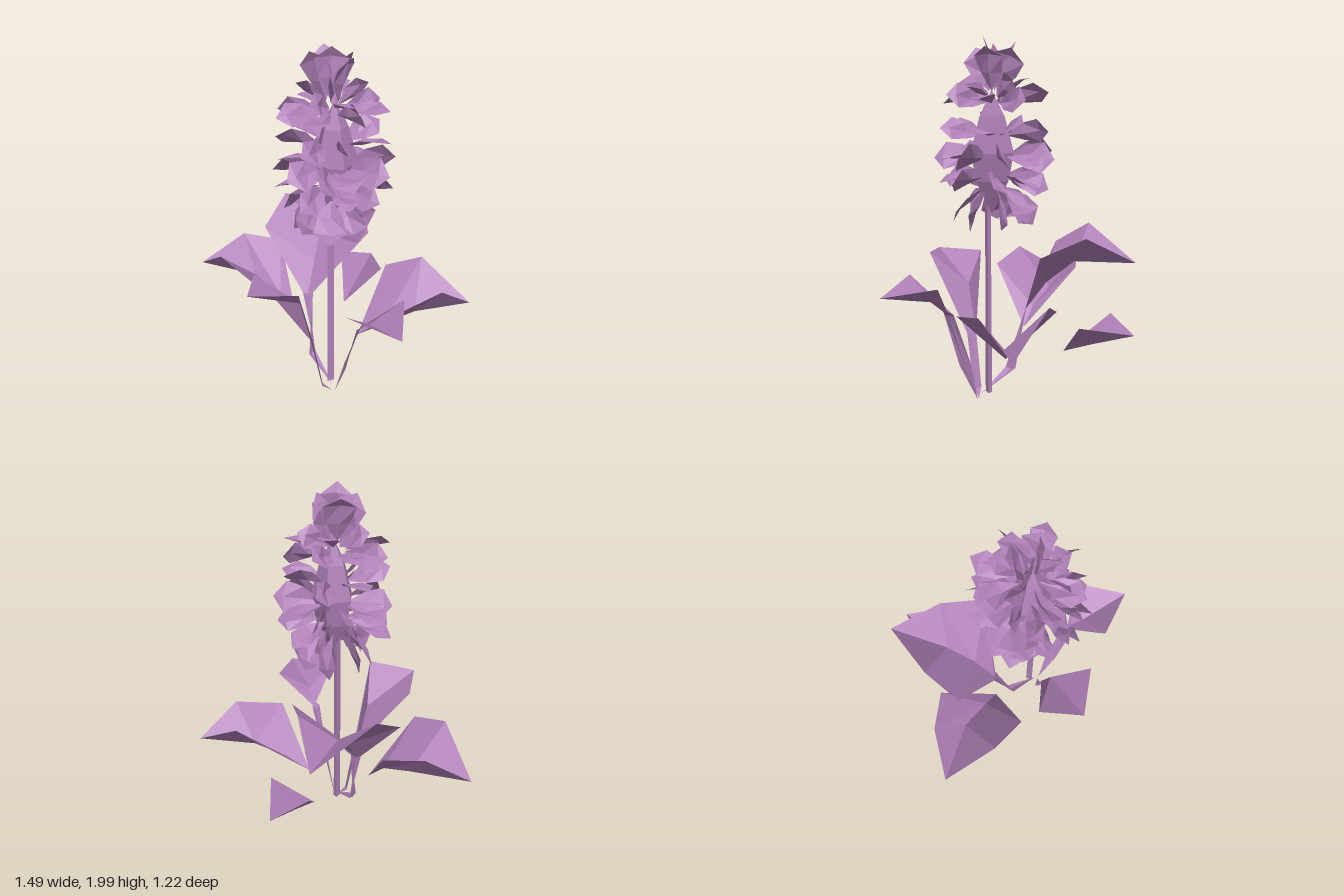
import * as THREE from 'three';

const material = new THREE.MeshStandardMaterial({ color: 0xb080b8, flatShading: true, side: THREE.DoubleSide });

// Folded sheet: each row is [left edge, midrib, right edge]; a row with one point is a tip
function sheet(name, rows) {
  const full = rows.map(r => (r.length === 1 ? [r[0], r[0], r[0]] : r));
  const pos = [];
  const tri = (a, b, c) => {
    if (a !== b && b !== c && a !== c) pos.push(...a, ...b, ...c);
  };
  for (let i = 0; i + 1 < full.length; i++) {
    for (let j = 0; j < 2; j++) {
      const a = full[i][j], b = full[i][j + 1], c = full[i + 1][j + 1], d = full[i + 1][j];
      tri(a, b, c);
      tri(a, c, d);
    }
  }
  const geometry = new THREE.BufferGeometry();
  geometry.setAttribute('position', new THREE.Float32BufferAttribute(pos, 3));
  geometry.computeVertexNormals();
  const mesh = new THREE.Mesh(geometry, material);
  mesh.name = name;
  return mesh;
}

// Narrow stalk row around a point, widened along direction (dx, dz)
const stalk = (x, y, z, dx, dz) => [[x - dx, y, z - dz], [x, y - 0.01, z], [x + dx, y, z + dz]];

// Small seeded generator for petal variation
function seeded(seed) {
  return () => (seed = (seed * 16807) % 2147483647) / 2147483647;
}

function createLeaves() {
  const leaves = new THREE.Group();
  leaves.name = 'leaves';
  leaves.add(
    // Three leaves on long stalks
    sheet('frontLeaf', [
      [[0.15, 0.01, 0.12]],
      stalk(0.12, 0.06, 0.17, 0.02, 0.01),
      stalk(0.11, 0.36, 0.23, 0.025, 0.01),
      [[-0.13, 0.77, 0.43], [0.08, 0.63, 0.29], [0.245, 0.81, 0.43]],
      [[0.045, 0.785, 0.605]],
    ]),
    sheet('leftLeaf', [
      [[0.165, 0.01, 0.115]],
      stalk(0.25, 0.23, 0.115, 0.025, 0.02),
      stalk(0.36, 0.54, 0.115, 0.01, 0.03),
      [[0.465, 0.74, 0.315], [0.46, 0.62, 0.14], [0.54, 0.735, -0.03]],
      [[0.74, 0.68, 0.19]],
    ]),
    sheet('tallLeaf', [
      [[0.14, 0.04, 0.11]],
      stalk(-0.06, 0.15, 0.09, 0.01, 0.03),
      stalk(-0.14, 0.5, 0.05, 0.02, -0.02),
      [[-0.44, 0.83, 0.115], [-0.2, 0.65, -0.05], [0.04, 0.855, -0.25]],
      [[-0.5, 0.96, -0.09], [-0.29, 0.78, -0.18], [-0.19, 0.945, -0.36]],
      [[-0.47, 0.79, -0.47]],
    ]),
    // Three loose blades lower down
    sheet('rightLeaf', [
      [[-0.18, 0.36, 0.11]],
      [[-0.225, 0.68, 0.395], [-0.28, 0.46, 0.14], [-0.47, 0.69, -0.02]],
      [[-0.44, 0.75, 0.43], [-0.46, 0.53, 0.18], [-0.63, 0.72, 0.13]],
      [[-0.745, 0.56, 0.36]],
    ]),
    sheet('backLeftLeaf', [
      [[0.135, 0.29, -0.085]],
      [[0.45, 0.585, -0.065], [0.24, 0.37, -0.18], [0.05, 0.6, -0.385]],
      [[0.53, 0.65, -0.335], [0.35, 0.45, -0.32], [0.22, 0.68, -0.505]],
      [[0.53, 0.485, -0.58]],
    ]),
    sheet('backRightLeaf', [
      [[-0.15, 0.31, -0.24]],
      [[-0.05, 0.505, -0.45], [-0.21, 0.37, -0.39], [-0.35, 0.52, -0.4]],
      [[-0.3, 0.45, -0.61]],
    ])
  );
  return leaves;
}

// Blunt petal along +z, folded upward on both sides of its midrib
function petal(length, width) {
  const w = width / 2;
  return sheet('petal', [
    [[0, 0, 0]],
    [[-w * 0.75, 0.025, length * 0.4], [0, 0, length * 0.4], [w * 0.75, 0.025, length * 0.4]],
    [[-w, 0.02, length * 0.75], [0, 0.02, length * 0.8], [w, 0.02, length * 0.75]],
    [[0, 0, length]],
  ]);
}

function createBlossom() {
  const blossom = new THREE.Group();
  blossom.name = 'blossom';

  // Spindle-shaped heart
  const profile = [[0, 1.06], [0.09, 1.24], [0.12, 1.39], [0.07, 1.58], [0.0, 1.72]];
  const heart = new THREE.Mesh(
    new THREE.LatheGeometry(profile.map(p => new THREE.Vector2(...p)), 5), material);
  heart.name = 'heart';
  heart.position.set(0.1, 0, 0.06);
  blossom.add(heart);

  // Petal rings: height, count, lift in degrees, start radius, length, width
  const rings = [
    [1.2, 8, -52, 0.06, 0.24, 0.17],
    [1.27, 9, -14, 0.07, 0.25, 0.14],
    [1.37, 10, -2, 0.07, 0.26, 0.17],
    [1.48, 7, 12, 0.06, 0.25, 0.14],
    [1.65, 8, 5, 0.05, 0.25, 0.14],
    [1.68, 5, 24, 0.03, 0.2, 0.13],
    [1.71, 5, 72, 0.03, 0.26, 0.17],
  ];
  const random = seeded(77);
  rings.forEach(([y, count, lift, radius, length, width], r) => {
    for (let i = 0; i < count; i++) {
      const angle = ((i + r * 0.4 + random() * 0.3) / count) * Math.PI * 2;
      const mesh = petal(length * (0.9 + 0.15 * random()), width);
      const roll = (i % 3 - 1) * 55 + (random() - 0.5) * 30;
      mesh.position.set(0.08 + Math.sin(angle) * radius, y, 0.06 + Math.cos(angle) * radius);
      mesh.rotation.set(
        THREE.MathUtils.degToRad(-lift + (random() - 0.5) * 16), angle,
        THREE.MathUtils.degToRad(roll), 'YXZ');
      blossom.add(mesh);
    }
  });

  // Upright crown petal
  const crown = petal(0.27, 0.17);
  crown.name = 'crownPetal';
  crown.position.set(0.11, 1.73, 0.09);
  crown.rotation.set(-1.5, 0.8, 0, 'YXZ');
  blossom.add(crown);
  return blossom;
}

export function createModel() {
  const group = new THREE.Group();
  group.name = 'flower';

  // Slender three-sided stem
  const stem = new THREE.Mesh(new THREE.CylinderGeometry(0.022, 0.026, 1.15, 3), material);
  stem.name = 'stem';
  stem.scale.x = 0.6;
  stem.position.set(0.105, 0.62, 0.09);

  group.add(stem, createLeaves(), createBlossom());
  return group;
}
